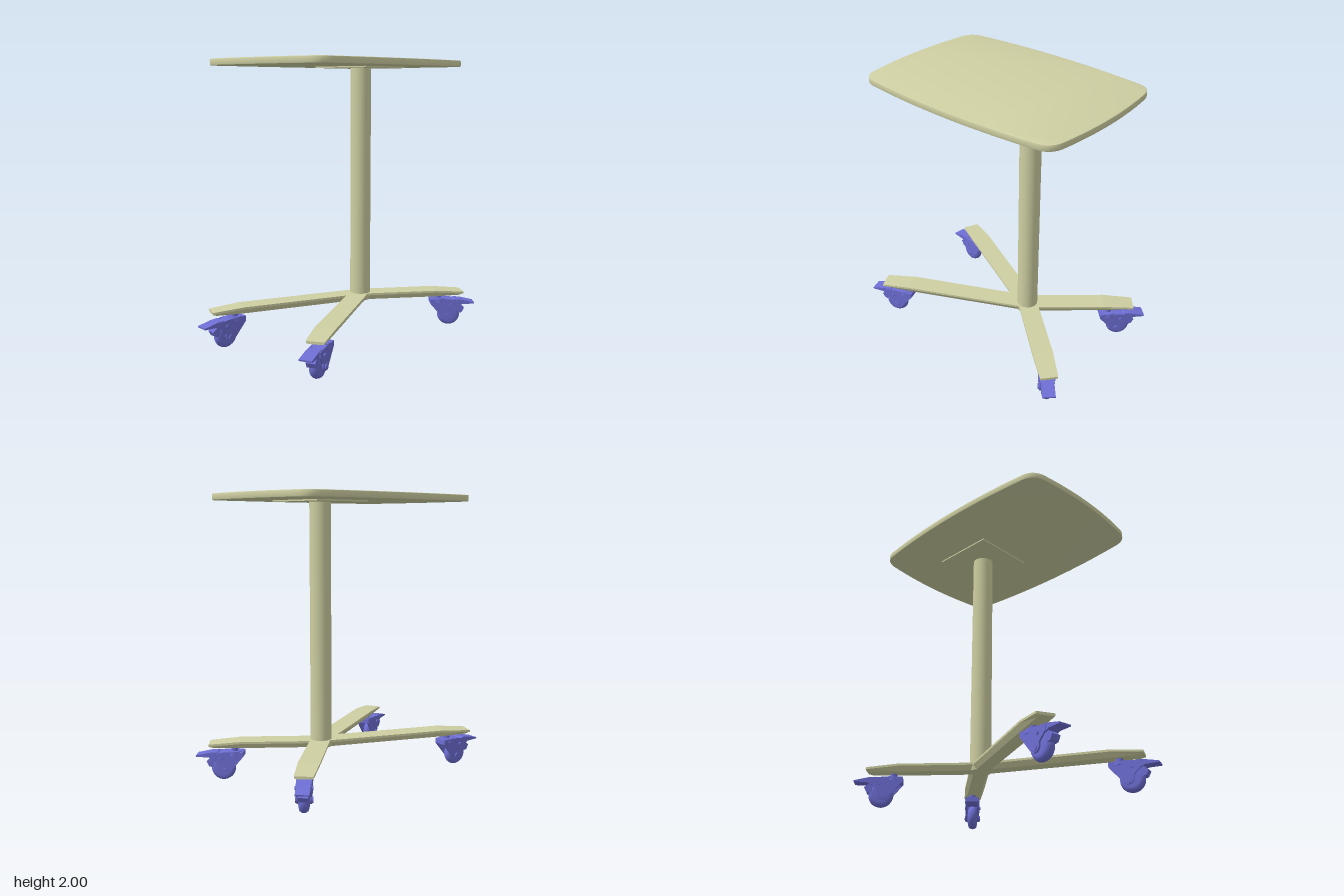
import * as THREE from 'three';
import { toCreasedNormals } from 'three/addons/utils/BufferGeometryUtils.js';

const tan = new THREE.MeshStandardMaterial({ color: 0xcecfa2 });
tan.name = 'tan';
const blue = new THREE.MeshStandardMaterial({ color: 0x6e6ed4 });
blue.name = 'blue';

const HUB = [0.22, -0.005];

function part(name, geometry, material, x = 0, y = 0, z = 0) {
  const m = new THREE.Mesh(geometry, material);
  m.name = name;
  m.position.set(x, y, z);
  return m;
}

// Extrude a side profile (x, y) to a given width, centred on z
function slab(shape, width, bevel = 0) {
  const g = new THREE.ExtrudeGeometry(shape, {
    depth: width - 2 * bevel, bevelEnabled: bevel > 0, bevelSize: bevel,
    bevelThickness: bevel, bevelOffset: -bevel, bevelSegments: 2, curveSegments: 14,
  });
  g.translate(0, 0, bevel - width / 2);
  return toCreasedNormals(g, 0.6);
}

const polygon = (pts) => new THREE.Shape(pts.map(([x, y]) => new THREE.Vector2(x, y)));

// Bowed rectangle with rounded corners
function tableTop() {
  const s = new THREE.Shape();
  s.moveTo(0.79, -0.42);
  s.quadraticCurveTo(0.852, 0, 0.79, 0.42);
  s.bezierCurveTo(0.782, 0.485, 0.745, 0.528, 0.68, 0.536);
  s.quadraticCurveTo(0, 0.618, -0.68, 0.536);
  s.bezierCurveTo(-0.745, 0.528, -0.782, 0.485, -0.79, 0.42);
  s.quadraticCurveTo(-0.852, 0, -0.79, -0.42);
  s.bezierCurveTo(-0.782, -0.485, -0.745, -0.528, -0.68, -0.536);
  s.quadraticCurveTo(0, -0.618, 0.68, -0.536);
  s.bezierCurveTo(0.745, -0.528, 0.782, -0.485, 0.79, -0.42);
  const g = slab(s, 0.045, 0.007);
  g.rotateX(-Math.PI / 2);
  return part('tableTop', g, tan, 0, 1.9775, -0.007);
}

// Leg lofted along +x: stations of [distance, half width, top, bottom]
function legGeometry(length) {
  const stations = [
    [0, 0.07, 0.29, 0.24], [length - 0.22, 0.072, 0.29, 0.24],
    [length - 0.03, 0.063, 0.274, 0.243], [length, 0.06, 0.271, 0.253],
  ];
  const pos = [], index = [];
  for (const [d, w, top, bottom] of stations) {
    const lip = Math.max(bottom, top - 0.015);
    pos.push(d, top, w, d, top, -w, d, lip, -w, d, bottom, -w * 0.68, d, bottom, w * 0.68, d, lip, w);
  }
  const n = 6;
  for (let i = 0; i < stations.length - 1; i++) {
    for (let j = 0; j < n; j++) {
      const a = i * n + j, b = i * n + (j + 1) % n;
      index.push(a, a + n, b, b, a + n, b + n);
    }
  }
  const e = (stations.length - 1) * n;
  for (let j = 1; j < n - 1; j++) {
    index.push(0, j, j + 1, e, e + j + 1, e + j);
  }
  const g = new THREE.BufferGeometry();
  g.setAttribute('position', new THREE.Float32BufferAttribute(pos, 3));
  g.setIndex(index);
  return toCreasedNormals(g, 0.05);
}

// Swivel caster; its wheel trails along +x from the stem
function caster() {
  const g = new THREE.Group();
  g.name = 'caster';
  g.add(part('stem', new THREE.CylinderGeometry(0.024, 0.024, 0.05, 20), blue, 0, 0.228, 0));
  g.add(part('swivelCap', new THREE.CylinderGeometry(0.052, 0.056, 0.03, 24), blue, 0, 0.201, 0));

  // Fork cheeks taper down to a rounded boss at the axle
  const cheek = new THREE.Shape();
  cheek.moveTo(-0.066, 0.212);
  cheek.lineTo(-0.066, 0.178);
  cheek.lineTo(0.03, 0.066);
  cheek.quadraticCurveTo(0.06, 0.04, 0.092, 0.066);
  cheek.quadraticCurveTo(0.105, 0.085, 0.1, 0.11);
  cheek.lineTo(0.155, 0.165);
  cheek.lineTo(0.155, 0.2);
  cheek.lineTo(0.06, 0.212);
  for (const side of [-1, 1]) {
    g.add(part('forkCheek', slab(cheek, 0.012), blue, 0, 0, side * 0.043));
    const bolt = part('axleBolt', new THREE.CylinderGeometry(0.02, 0.02, 0.012, 18), blue, 0.064, 0.08, side * 0.051);
    const pin = part('brakePin', new THREE.CylinderGeometry(0.012, 0.012, 0.014, 12), blue, 0.09, 0.165, side * 0.052);
    bolt.rotation.x = pin.rotation.x = Math.PI / 2;
    g.add(bolt, pin);
  }
  const crown = polygon([[-0.066, 0.212], [-0.066, 0.178], [-0.045, 0.172], [0.13, 0.178], [0.13, 0.198], [0.06, 0.212]]);
  g.add(part('forkCrown', slab(crown, 0.08), blue));

  // Domed wheel
  const tyre = [[0, -0.034], [0.055, -0.034], [0.074, -0.028], [0.083, -0.014], [0.086, 0],
    [0.083, 0.014], [0.074, 0.028], [0.055, 0.034], [0, 0.034]].map(([r, y]) => new THREE.Vector2(r, y));
  const wheel = part('wheel', new THREE.LatheGeometry(tyre, 32), blue, 0.08, 0.09, 0);
  wheel.rotation.x = Math.PI / 2;
  g.add(wheel);

  // Foot brake pedal and the shoe below it
  const pedal = polygon([[0.09, 0.19], [0.09, 0.165], [0.15, 0.158], [0.18, 0.172], [0.268, 0.174],
    [0.27, 0.184], [0.17, 0.206], [0.12, 0.21]]);
  g.add(part('brakePedal', slab(pedal, 0.09), blue));
  const shoe = polygon([[0.135, 0.165], [0.14, 0.125], [0.152, 0.098], [0.178, 0.104], [0.196, 0.138], [0.165, 0.165]]);
  g.add(part('brakeShoe', slab(shoe, 0.065), blue));
  return g;
}

export function createModel() {
  const model = new THREE.Group();
  model.name = 'pedestalTable';

  model.add(tableTop());
  model.add(part('mountingPlate', new THREE.BoxGeometry(0.46, 0.012, 0.46), tan, HUB[0], 1.951, HUB[1]));
  model.add(part('column', new THREE.CylinderGeometry(0.074, 0.074, 1.68, 48), tan, HUB[0], 1.11, HUB[1]));
  model.add(part('hub', new THREE.CylinderGeometry(0.088, 0.078, 0.049, 32), tan, HUB[0], 0.265, HUB[1]));

  // Leg tip, stem position and caster heading for each corner
  const corners = [
    { tip: [-0.805, 0.49], stem: [-0.655, 0.417], heading: [-0.95, 0.33] },
    { tip: [-0.805, -0.5], stem: [-0.65, -0.435], heading: [-1, -0.13] },
    { tip: [0.82, 0.505], stem: [0.693, 0.38], heading: [0.68, 0.73] },
    { tip: [0.82, -0.52], stem: [0.695, -0.385], heading: [0.7, -0.72] },
  ];
  for (const { tip, stem, heading } of corners) {
    const dx = tip[0] - HUB[0], dz = tip[1] - HUB[1];
    const leg = part('leg', legGeometry(Math.hypot(dx, dz)), tan, HUB[0], 0, HUB[1]);
    leg.rotation.y = Math.atan2(-dz, dx);
    const c = caster();
    c.position.set(stem[0], 0, stem[1]);
    c.rotation.y = Math.atan2(-heading[1], heading[0]);
    model.add(leg, c);
  }
  return model;
}
